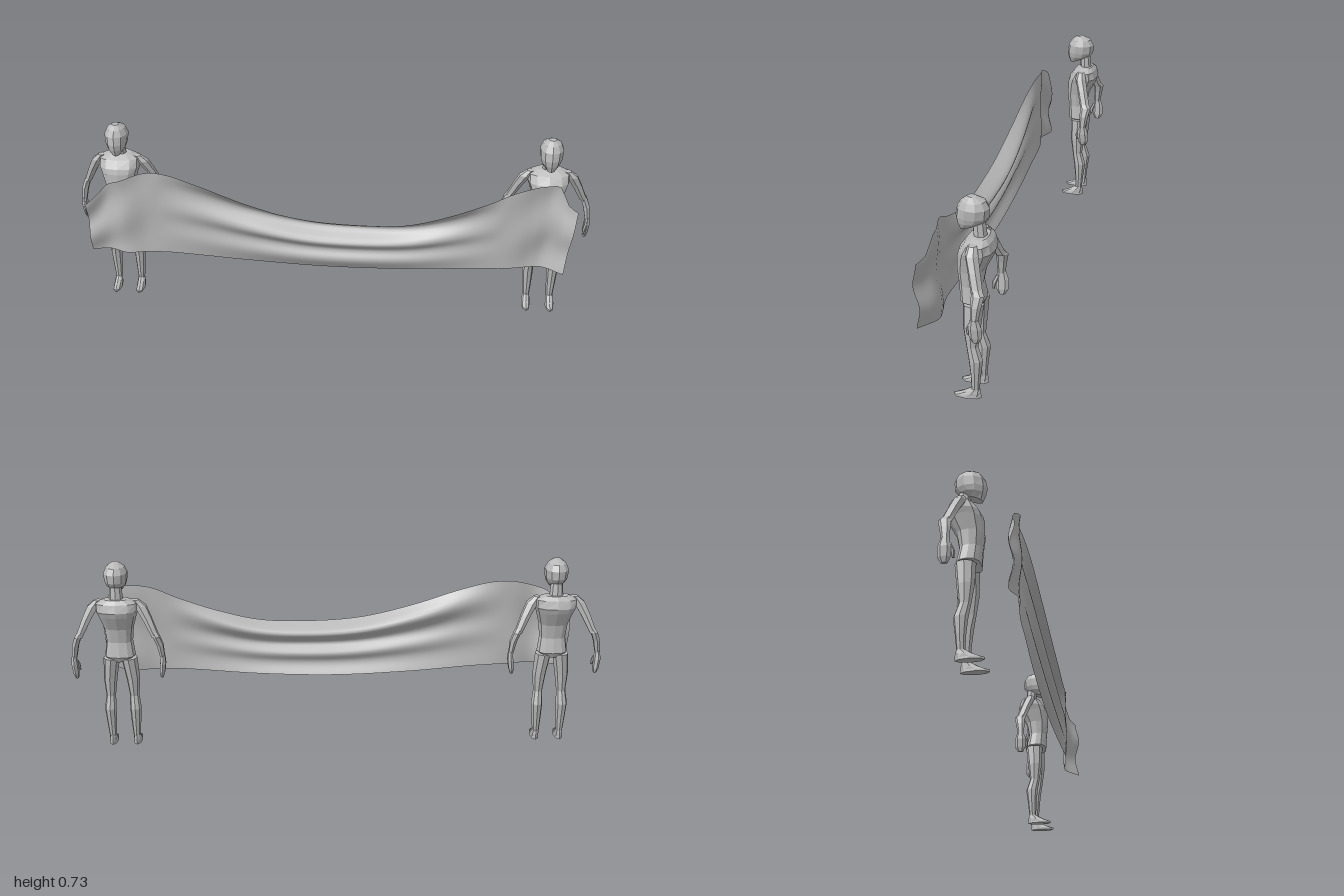
import * as THREE from 'three';

const grey = new THREE.MeshStandardMaterial({ color: 0xb8b8b8, side: THREE.DoubleSide });
grey.name = 'plain grey';

// Faceted loft, bottom to top. Section: [y, x, zFront, zBack, halfWidth, frontTilt]
function loft(name, sections, side = 1, n = 8, power = 1) {
  const pos = [], index = [];
  const bend = (v) => Math.sign(v) * Math.pow(Math.abs(v), power);
  for (const [y, x, zf, zb, rx, tilt = 0] of sections) {
    for (let i = 0; i < n; i++) {
      const a = Math.PI / 2 + (i / n) * Math.PI * 2;
      const c = bend(Math.cos(a)), s = bend(Math.sin(a));
      pos.push(side * x + rx * c, y + tilt * s, (zf + zb) / 2 + (zf - zb) / 2 * s);
    }
  }
  const top = (sections.length - 1) * n;
  for (let j = 0; j < top; j += n) {
    for (let i = 0; i < n; i++) {
      const k = (i + 1) % n;
      index.push(j + i, j + n + i, j + k, j + k, j + n + i, j + n + k);
    }
  }
  for (let i = 1; i < n - 1; i++) {
    index.push(0, i, i + 1, top, top + i + 1, top + i);
  }
  const indexed = new THREE.BufferGeometry();
  indexed.setAttribute('position', new THREE.Float32BufferAttribute(pos, 3));
  indexed.setIndex(index);
  const geometry = indexed.toNonIndexed();
  geometry.computeVertexNormals();
  const mesh = new THREE.Mesh(geometry, grey);
  mesh.name = name;
  return mesh;
}

function createFigure(name) {
  const figure = new THREE.Group();
  figure.name = name;
  figure.add(
    loft('head', [
      [0.62, 0, -0.014, -0.078, 0.02, -0.011],
      [0.639, 0, -0.004, -0.1, 0.036, -0.004],
      [0.658, 0, 0, -0.112, 0.042],
      [0.69, 0, -0.006, -0.114, 0.045],
      [0.713, 0, -0.019, -0.101, 0.035],
      [0.728, 0, -0.04, -0.07, 0.014],
    ], 1, 10),
    loft('neck', [[0.575, 0, -0.06, -0.108, 0.028], [0.64, 0, -0.055, -0.1, 0.022]]),
    loft('torso', [
      [0.343, 0, -0.04, -0.09, 0.026],
      [0.363, 0, -0.015, -0.1, 0.058],
      [0.42, 0, -0.012, -0.09, 0.05],
      [0.475, 0, -0.006, -0.1, 0.056],
      [0.53, 0, -0.008, -0.128, 0.072],
      [0.55, 0, -0.014, -0.135, 0.08],
      [0.58, 0, -0.035, -0.125, 0.08],
      [0.595, 0, -0.06, -0.112, 0.045],
    ], 1, 12, 0.8),
  );
  for (const side of [-1, 1]) {
    const label = side > 0 ? 'left' : 'right';
    figure.add(
      loft(label + 'UpperArm', [
        [0.452, 0.143, -0.09, -0.13, 0.015],
        [0.52, 0.112, -0.07, -0.112, 0.02],
        [0.565, 0.088, -0.055, -0.1, 0.024],
        [0.588, 0.07, -0.06, -0.09, 0.014],
      ], side, 6),
      loft(label + 'Forearm', [
        [0.37, 0.165, -0.092, -0.118, 0.01],
        [0.42, 0.158, -0.09, -0.127, 0.014],
        [0.455, 0.146, -0.091, -0.135, 0.014],
        [0.475, 0.134, -0.088, -0.12, 0.014],
      ], side, 6),
      loft(label + 'Hand', [
        [0.29, 0.16, -0.096, -0.118, 0.006],
        [0.31, 0.162, -0.086, -0.13, 0.011],
        [0.345, 0.166, -0.085, -0.13, 0.012],
        [0.376, 0.167, -0.092, -0.12, 0.009],
      ], side, 6),
      loft(label + 'Thumb', [
        [0.312, 0.152, -0.076, -0.084, 0.004],
        [0.335, 0.156, -0.074, -0.09, 0.006],
        [0.36, 0.163, -0.086, -0.1, 0.005],
      ], side, 6),
      loft(label + 'Leg', [
        [0.03, 0.046, -0.056, -0.084, 0.013],
        [0.09, 0.047, -0.054, -0.09, 0.018],
        [0.15, 0.048, -0.048, -0.098, 0.022],
        [0.2, 0.045, -0.04, -0.082, 0.018],
        [0.27, 0.043, -0.03, -0.09, 0.026],
        [0.355, 0.033, -0.028, -0.1, 0.031],
      ], side),
      loft(label + 'Foot', [
        [0, 0.047, 0.007, -0.09, 0.017],
        [0.008, 0.047, 0.007, -0.09, 0.017],
        [0.02, 0.047, -0.025, -0.089, 0.016],
        [0.037, 0.046, -0.054, -0.086, 0.013],
      ], side),
    );
  }
  return figure;
}

// Smooth curve through [position, value] pairs
function curve(points) {
  const c = new THREE.CubicInterpolant(
    points.map((p) => p[0]), points.map((p) => p[1]), 1, new Float32Array(1));
  return (t) => c.evaluate(t)[0];
}

// Hanging banner: edge outlines plus swag folds sagging between the two grips
function createBanner() {
  const topEdge = curve([
    [-0.925, 0.46], [-0.88, 0.5], [-0.84, 0.545], [-0.78, 0.57], [-0.7, 0.594],
    [-0.62, 0.594], [-0.5, 0.562], [-0.3, 0.493], [-0.1, 0.443], [0.1, 0.428],
    [0.3, 0.437], [0.45, 0.475], [0.6, 0.53], [0.72, 0.583], [0.82, 0.596],
    [0.865, 0.585], [0.885, 0.535], [0.925, 0.51],
  ]);
  const bottomEdge = curve([
    [-0.925, 0.255], [-0.6, 0.25], [-0.3, 0.228], [0, 0.215], [0.3, 0.222],
    [0.6, 0.243], [0.925, 0.25],
  ]);
  const depth = curve([
    [-0.925, 0.1], [-0.86, 0.085], [-0.79, 0.106], [-0.7, 0.088], [-0.5, 0.088],
    [0, 0.092], [0.5, 0.094], [0.72, 0.088], [0.79, 0.075], [0.85, 0.07], [0.925, 0.115],
  ]);
  const folds = curve([
    [0, 0.034], [0.17, -0.028], [0.42, 0.024], [0.6, -0.004], [0.78, 0.012], [1, -0.012],
  ]);
  const geometry = new THREE.PlaneGeometry(1, 1, 110, 28);
  const p = geometry.attributes.position;
  for (let i = 0; i < p.count; i++) {
    const x = p.getX(i) * 1.85, v = 0.5 - p.getY(i);
    const sag = Math.max(0, 1 - (x / 0.66) ** 2);
    const end = THREE.MathUtils.smoothstep(Math.abs(x), 0.6, 0.9);
    const taper = x > 0 ? 0.035 : 0.008;
    p.setXYZ(i,
      x - Math.sign(x) * taper * v * end,
      THREE.MathUtils.lerp(topEdge(x), bottomEdge(x), v),
      depth(x) + sag * folds(v) + end * 0.008 * Math.sin(v * 9 + x * 12));
  }
  geometry.computeVertexNormals();
  const mesh = new THREE.Mesh(geometry, grey);
  mesh.name = 'banner';
  return mesh;
}

export function createModel() {
  const model = new THREE.Group();
  model.name = 'bannerBearers';
  for (const side of [-1, 1]) {
    const figure = createFigure(side > 0 ? 'leftBearer' : 'rightBearer');
    figure.position.x = side * 0.824;
    model.add(figure);
  }
  model.add(createBanner());
  return model;
}
